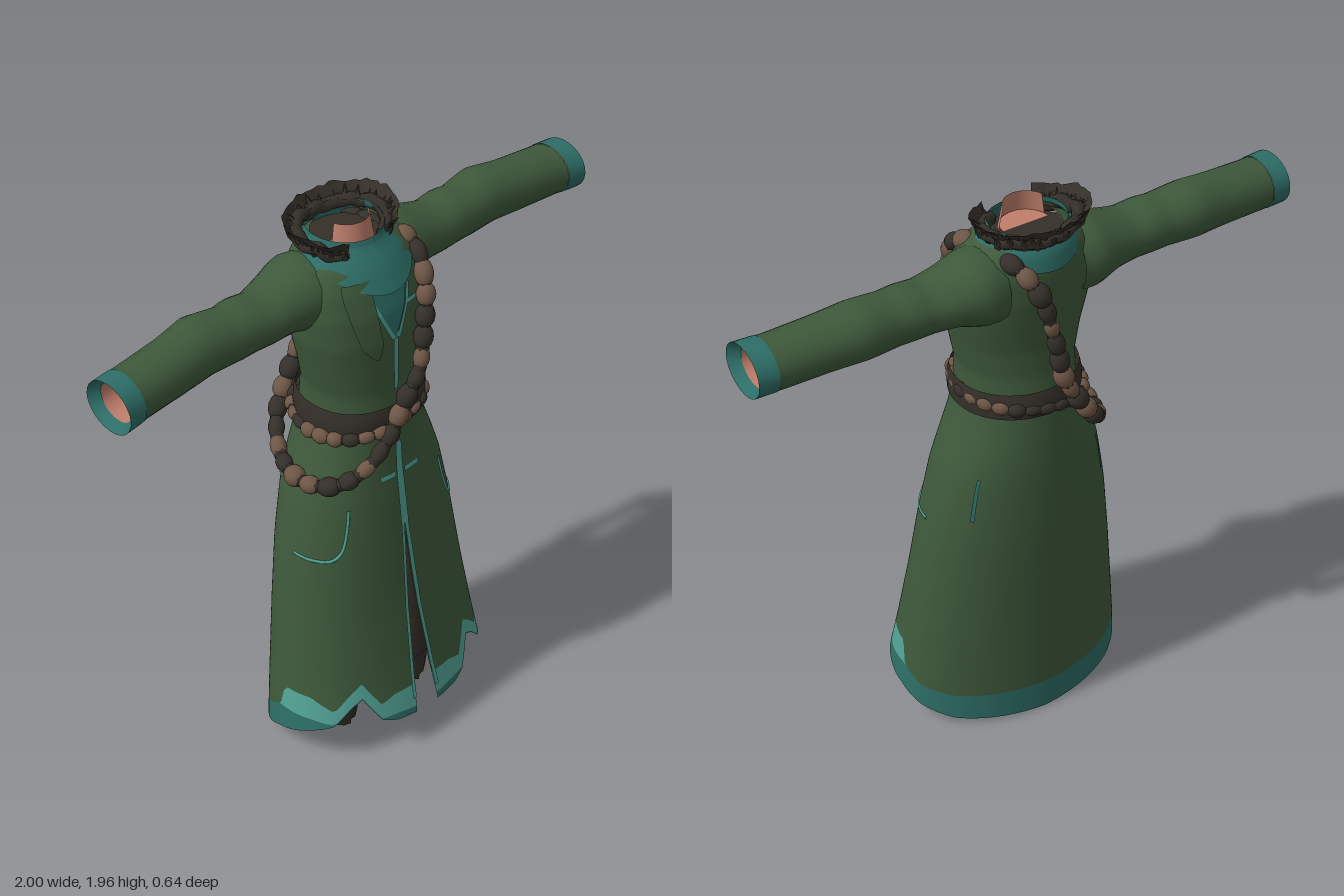
import * as THREE from 'three';

const mat = (name, color, side = THREE.FrontSide) =>
  Object.assign(new THREE.MeshStandardMaterial({ color, side }), { name });

// Linear lookup in a table of [key, ...values] rows
function lookup(table, t) {
  let i = 0;
  while (i < table.length - 2 && t > table[i + 1][0]) i++;
  const a = table[i], b = table[i + 1];
  const k = Math.min(1, Math.max(0, (t - a[0]) / (b[0] - a[0])));
  return a.slice(1).map((v, j) => v + (b[j + 1] - v) * k);
}

// Grid surface from f(u, v) -> [x, y, z]; skip(u, v) leaves openings
function patch(nu, nv, f, skip = () => false) {
  const pos = [], idx = [];
  for (let j = 0; j <= nv; j++) for (let i = 0; i <= nu; i++) pos.push(...f(i / nu, j / nv));
  for (let j = 0; j < nv; j++) for (let i = 0; i < nu; i++) {
    if (skip((i + 0.5) / nu, (j + 0.5) / nv)) continue;
    const a = j * (nu + 1) + i, d = a + nu + 1;
    idx.push(a, d, a + 1, a + 1, d, d + 1);
  }
  const g = new THREE.BufferGeometry();
  g.setAttribute('position', new THREE.Float32BufferAttribute(pos, 3));
  g.setIndex(idx);
  g.computeVertexNormals();
  return g;
}

// Coat sections: y, half width, front z, back z
const BODY = [
  [0, 0.435, 0.33, -0.25], [0.15, 0.425, 0.32, -0.25], [0.3, 0.405, 0.285, -0.25],
  [0.55, 0.372, 0.238, -0.252], [0.8, 0.337, 0.205, -0.255], [1.0, 0.298, 0.178, -0.25],
  [1.1, 0.265, 0.163, -0.245], [1.2, 0.222, 0.155, -0.235], [1.3, 0.2, 0.15, -0.225],
  [1.4, 0.2, 0.14, -0.212], [1.5, 0.222, 0.14, -0.212], [1.6, 0.245, 0.14, -0.225],
  [1.7, 0.255, 0.125, -0.238], [1.78, 0.245, 0.1, -0.24], [1.84, 0.215, 0.075, -0.235],
  [1.88, 0.165, 0.04, -0.222], [1.9, 0.12, 0.02, -0.2],
];
// Hem by angle from the front: trim top, trim bottom, hem bottom
const HEM = [
  [0, 0.25, 0.165, 0.14], [0.2, 0.25, 0.175, 0.15], [0.34, 0.23, 0.175, 0.17], [0.54, 0.33, 0.275, 0.27],
  [0.66, 0.3, 0.25, 0.245], [0.86, 0.235, 0.185, 0.18], [1.15, 0.285, 0.2, 0.155], [1.5, 0.285, 0.2, 0.115],
  [1.58, 0.2, 0.2, 0.11], [1.9, 0.15, 0.15, 0.065], [2.3, 0.13, 0.13, 0.03], [3.15, 0.12, 0.12, 0.006],
];
// Fuller curve in front, plain ellipse behind
function body(phi, y, off = 0) {
  const [w, zf, zb] = lookup(BODY, y), s = Math.sin(phi), c = Math.cos(phi);
  const e = c > 0 ? 0.87 : 1;
  const pw = (v) => Math.sign(v) * Math.abs(v) ** e;
  return [(w + off) * pw(s), y, (zf + zb) / 2 + ((zf - zb) / 2 + off) * pw(c)];
}
const slit = (y) => lookup([[0, 0.1], [0.15, 0.085], [0.5, 0.042], [0.9, 0]], y)[0];
// Skirt point: u runs round from one slit edge to the other
function skirt(u, y, off = 0) {
  const s = slit(y);
  return body(s - 0.03 + u * (2 * Math.PI - 2 * s), y, off);
}
const hem = (u, k) => lookup(HEM, Math.min(u, 1 - u) * 2 * Math.PI)[k];

// Sleeve stations: x, top y, bottom y, back z, front z
const SLEEVE = [
  [0.14, 1.87, 1.61, -0.225, 0.04], [0.21, 1.875, 1.62, -0.238, 0.03], [0.3, 1.84, 1.65, -0.212, 0.015],
  [0.38, 1.82, 1.652, -0.195, 0.012], [0.46, 1.833, 1.65, -0.195, 0.005], [0.5, 1.825, 1.65, -0.19, 0.005],
  [0.62, 1.842, 1.648, -0.203, 0.0], [0.74, 1.825, 1.645, -0.186, 0.008], [0.9, 1.812, 1.64, -0.175, 0.018],
  [1.0, 1.808, 1.638, -0.168, 0.032],
];
function sleeve(s, x, u, k = 1) {
  const [t, b, zb, zf] = lookup(SLEEVE, x), a = u * 2 * Math.PI;
  return [s * x, (t + b) / 2 + k * (t - b) / 2 * Math.cos(a), (zf + zb) / 2 - s * k * (zf - zb) / 2 * Math.sin(a)];
}

export function createModel() {
  const group = new THREE.Group();
  const D = THREE.DoubleSide;
  const green = mat('coat green', 0x3e593b);
  const teal = mat('dark teal', 0x2d6e67, D);
  const lining = mat('lining teal', 0x2d6e67, THREE.BackSide);
  const trim = mat('light teal trim', 0x52a396, D);
  const dark = mat('dark leather', 0x342f29, D);
  const brown = mat('brown bead', 0x6e5646);
  const skin = mat('skin', 0xc07f6c, D);
  const add = (name, geo, m, parent = group) => {
    const mesh = new THREE.Mesh(geo, m);
    mesh.name = name;
    parent.add(mesh);
    return mesh;
  };
  let seed = 7;
  const rnd = () => (seed = (seed * 16807) % 2147483647) / 2147483647;
  const V = (a) => new THREE.Vector3(...a);
  const mix = (a, b, t) => a + (b - a) * t;

  // Skirt panels with lining: cloth, wavy trim, lower hem
  const panels = [
    ['skirt', 20, () => 1.3, (u) => hem(u, 0), green],
    ['hemTrim', 1, (u) => hem(u, 0), (u) => hem(u, 1), trim],
    ['hemBand', 2, (u) => hem(u, 1), (u) => hem(u, 2), teal],
  ];
  for (const [name, nv, top, bottom, m] of panels) {
    const panel = (off) => patch(128, nv, (u, v) => skirt(u, mix(top(u), bottom(u), v), off));
    add(name, panel(0), m);
    if (m !== teal) add(name + 'Lining', panel(-0.004), lining);
  }

  // Torso, open where the sleeves join
  add('torso', patch(80, 30, (u, v) => body(u * 2 * Math.PI, 1.9 - 0.6 * v), (u, v) => {
    const [x, y, z] = body(u * 2 * Math.PI, 1.9 - 0.6 * v);
    return Math.abs(x) > 0.15 && Math.hypot((y - 1.74) / 0.085, (z + 0.08) / 0.085) < 1;
  }), green);

  // Sleeves with cuffs and the arm ends inside
  for (const s of [1, -1]) {
    const arm = new THREE.Group();
    arm.name = s > 0 ? 'leftSleeve' : 'rightSleeve';
    group.add(arm);
    add('sleeve', patch(24, 26, (u, v) => sleeve(s, 0.14 + 0.79 * v, u)), green, arm);
    add('cuff', patch(24, 2, (u, v) => sleeve(s, 0.93 + 0.07 * v, u, 1.02)), teal, arm);
    add('cuffInside', patch(24, 1, (u, v) => sleeve(s, 0.965 + 0.035 * v, u, 0.76 + 0.26 * v)), teal, arm);
    add('armInside', patch(24, 1, (u, v) => sleeve(s, 0.8 + 0.165 * v, u, 0.72 + 0.04 * v)), skin, arm);
  }

  // Thin strip on the coat between two edges, from y0 down to y1
  const strip = (name, y0, y1, a, b, m, off = 0.005) =>
    add(name, patch(4, 14, (u, v) => {
      const y = mix(y0, y1, v);
      return body(mix(a(y), b(y), u), y, off);
    }), m);
  const C = -0.03;
  strip('frontSeam', 1.2, 0.88, () => C - 0.035, () => C + 0.035, trim);
  strip('chestSeam', 1.62, 1.4, () => C - 0.02, () => C + 0.035, trim);
  for (const s of [1, -1]) {
    strip('slitTrim', 0.9, 0.2, (y) => C + s * slit(y), (y) => C + s * (slit(y) + 0.03), trim);
    strip('lapelTrim', 1.76, 1.6, (y) => C + s * (y - 1.6) * 1.5, (y) => C + s * ((y - 1.6) * 1.5 + 0.05), trim, 0.009);
    strip('lapelTab', 1.71, 1.695, () => C + s * 0.2, () => C + s * 0.36, trim, 0.009);
    strip('clasp', 1.09, 1.07, () => C + s * 0.05, () => C + s * 0.26, trim);
    strip('backSlit', 1.04, 0.88, () => s * 2.2, () => s * 2.25, teal);
    // Pocket outline
    const pts = [[0.72, 1.0], [0.74, 0.92], [0.8, 0.85], [0.92, 0.82], [1.2, 0.815], [1.5, 0.82]];
    const path = new THREE.CatmullRomCurve3(pts.map(([p, y]) => V(body(s * p, y))));
    add('pocketTrim', new THREE.TubeGeometry(path, 24, 0.006, 5), trim);
  }
  strip('chestInset', 1.8, 1.6, (y) => C - (y - 1.6) * 1.5, (y) => C + (y - 1.6) * 1.5, teal, 0.007);

  // Draped flap on the chest
  const flap = (y) => lookup([[1.55, 0.06], [1.6, 0.28], [1.82, 0.42]], y)[0];
  strip('chestFlap', 1.82, 1.55, (y) => -0.3 - flap(y) * 0.7 - (y - 1.55) * 0.5, (y) => -0.3 + flap(y) * 0.4 - (y - 1.55) * 0.5, green, 0.014);

  // Cowl collar: height, half width, front z, back z, front drop, back drop
  const cowl = [[0, 0.185, 0.135, -0.25, 0.095, 0.05], [0.35, 0.165, 0.09, -0.24, 0.045, 0.015],
    [0.65, 0.135, 0.04, -0.22, 0.01, 0], [1, 0.13, 0.03, -0.215, 0.01, 0]];
  add('cowl', patch(40, 9, (u, v) => {
    const [w, zf, zb, drop, back] = lookup(cowl, 1 - v), c = Math.cos(u * 2 * Math.PI);
    const y = mix(1.93, 1.86, v) - (c > 0 ? drop * c ** 1.5 : back * c * c);
    return [w * Math.sin(u * 2 * Math.PI) - 0.005, y, (zf + zb) / 2 + (zf - zb) / 2 * c];
  }), teal);

  // Ragged fur collar, parted and drooping at the front
  const fur = new THREE.Group();
  fur.name = 'furCollar';
  group.add(fur);
  const droop = (a) => 0.03 * Math.max(0, Math.cos(a));
  const furPoint = (a, r, y) => [r * Math.sin(a) - 0.012, y - droop(a), -0.1 + r * 0.78 * Math.cos(a)];
  const arc = (u) => 0.5 + u * (2 * Math.PI - 1);
  add('furBand', patch(48, 2, (u, v) => furPoint(arc(u), 0.195 - 0.045 * v + 0.012 * rnd(), 1.958 - 0.06 * v + 0.014 * rnd())), dark, fur);
  add('furRoll', new THREE.TubeGeometry(new THREE.CatmullRomCurve3(
    Array.from({ length: 25 }, (_, i) => V(furPoint(arc(i / 24), 0.16, 1.905 + 0.02 * rnd())))), 60, 0.024, 6), dark, fur);
  for (let i = 0; i < 40; i++) {
    const a = arc((i + 0.5) / 40);
    const tuft = add('furTuft', new THREE.ConeGeometry(0.018, 0.055, 5), dark, fur);
    tuft.position.set(...furPoint(a, 0.168 + 0.02 * rnd(), 1.92 + 0.02 * rnd()));
    tuft.quaternion.setFromUnitVectors(V([0, 1, 0]), V([Math.sin(a), 0.8 + rnd() * 0.8, Math.cos(a)]).normalize());
  }

  // Neck inside the collar
  add('neckFloor', new THREE.CircleGeometry(0.145, 24).rotateX(-Math.PI / 2).scale(1, 1, 0.9).translate(-0.005, 1.868, -0.095), dark);
  add('neckFront', new THREE.CylinderGeometry(0.075, 0.09, 0.085, 16, 1, true, -1.3, 2.6).translate(-0.01, 1.922, -0.08), skin);
  add('throat', new THREE.CircleGeometry(0.085, 16, Math.PI, Math.PI).rotateX(-Math.PI / 2).translate(-0.01, 1.89, -0.08), skin);

  // Belt band
  add('belt', patch(48, 3, (u, v) => body(u * 2 * Math.PI, 1.352 - 0.09 * v, 0.012 + 0.008 * Math.sin(v * Math.PI))), dark);

  // Strings of knobbly beads along a closed curve
  const bead = new THREE.IcosahedronGeometry(1, 2);
  function beads(name, points, count, radius, shade) {
    const g = new THREE.Group();
    g.name = name;
    group.add(g);
    const curve = new THREE.CatmullRomCurve3(points.map(V), true);
    const half = curve.getLength() / count / 2;
    add('cord', new THREE.TubeGeometry(curve, 120, radius * 0.7, 6, true), dark, g);
    for (let i = 0; i < count; i++) {
      const m = add('bead', bead, shade(i), g), t = (i + 0.5) / count, r = radius * (0.8 + 0.4 * rnd());
      m.position.copy(curve.getPointAt(t));
      m.quaternion.setFromUnitVectors(V([0, 1, 0]), curve.getTangentAt(t));
      m.scale.set(r, half * (1.1 + 0.3 * rnd()), r);
    }
  }
  const ring = Array.from({ length: 16 }, (_, i) => {
    const p = body(i / 16 * 2 * Math.PI, 1.3, 0.012);
    p[1] = 1.282 + 0.14 * p[0];
    p[0] -= 0.012;
    return p;
  });
  beads('beltBeads', ring, 26, 0.024, (i) => (i % 4 === 2 || (i > 9 && i < 16) ? dark : brown));
  beads('bandolier', [
    [0.14, 1.855, -0.09], [0.165, 1.825, 0.05], [0.14, 1.72, 0.125], [0.1, 1.58, 0.16], [0.055, 1.46, 0.185],
    [0, 1.36, 0.175], [-0.07, 1.26, 0.18], [-0.15, 1.17, 0.165], [-0.24, 1.11, 0.11], [-0.285, 1.09, 0.0],
    [-0.255, 1.11, -0.14], [-0.17, 1.19, -0.245], [-0.07, 1.33, -0.275], [-0.02, 1.42, -0.285], [0.02, 1.6, -0.28],
    [0.07, 1.76, -0.275], [0.11, 1.835, -0.225],
  ], 34, 0.032, (i) => (i % 3 === 1 || i % 7 === 3 ? brown : dark));

  // Legs with ragged boot ends
  for (const [name, x] of [['leftLeg', 0.155], ['rightLeg', -0.185]]) {
    const prof = [[0.085, 0.03], [0.09, 0.1], [0.086, 0.13], [0.092, 0.14], [0.09, 0.3], [0.095, 0.75]];
    const geo = new THREE.LatheGeometry(prof.map(([r, y]) => new THREE.Vector2(r, y)), 20);
    const p = geo.attributes.position;
    for (let i = 0; i < p.count; i++) if (p.getY(i) < 0.05) p.setY(i, 0.012 + 0.035 * rnd());
    geo.scale(1, 1, 1.2);
    add(name, geo, dark).position.set(x, 0, 0.01);
  }
  return group;
}
